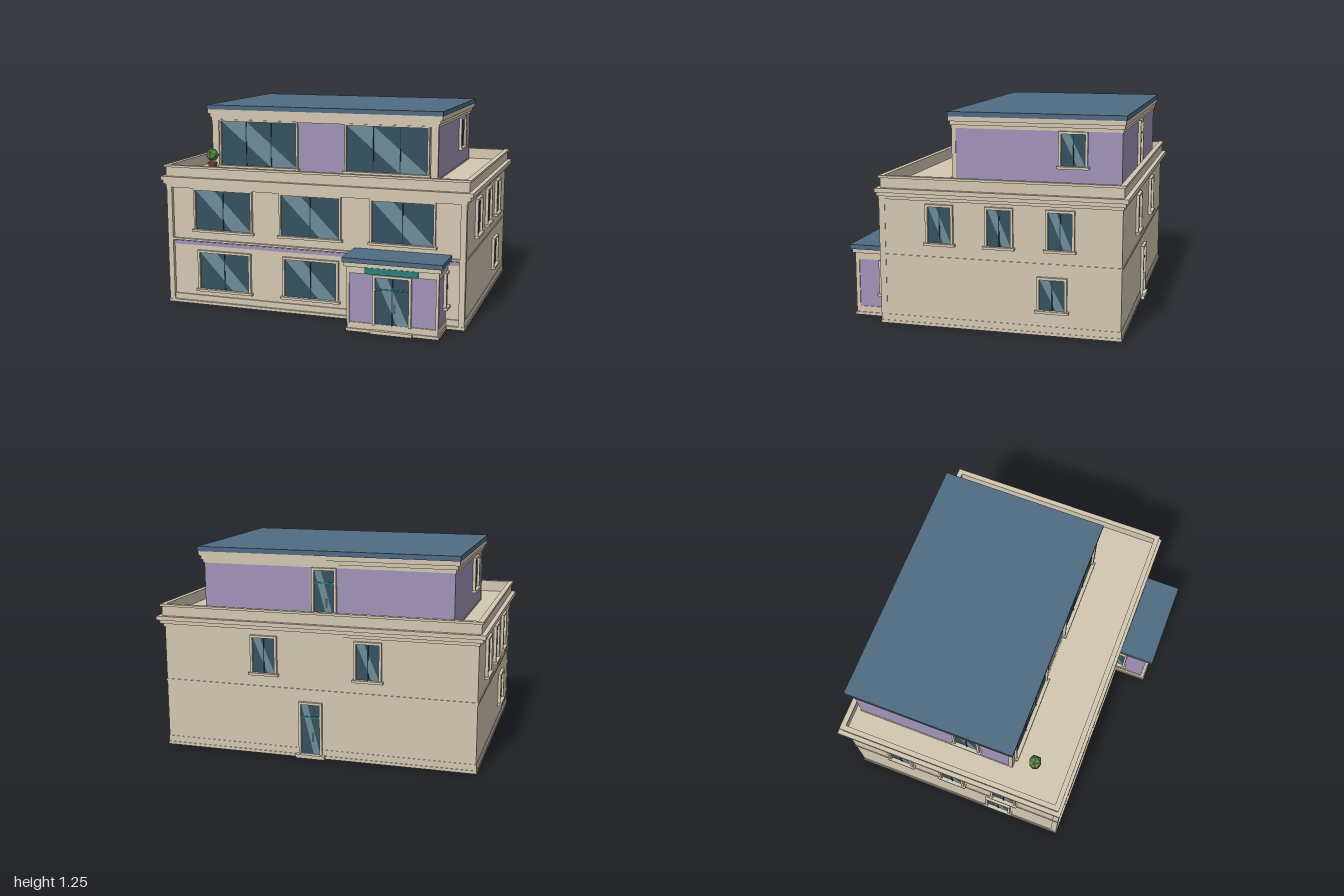
import * as THREE from 'three';

const mat = (color, side = THREE.FrontSide) => new THREE.MeshStandardMaterial({ color, side, flatShading: true });
const STONE = mat(0xd3c7b1), LILAC = mat(0xa093b8), ROOF = mat(0x4f6b82), GLASS = mat(0x34525f);
const SHINE = mat(0x6e8d99, THREE.DoubleSide), BAR = mat(0x263d49), TEAL = mat(0x2a7f7a);
const LEAF = mat(0x5c8a4a), POT = mat(0x8a4b3c);

// Box given by its lower and upper bounds on each axis
function box(parent, name, material, x0, x1, y0, y1, z0, z1) {
  const m = new THREE.Mesh(new THREE.BoxGeometry(x1 - x0, y1 - y0, z1 - z0), material);
  m.position.set((x0 + x1) / 2, (y0 + y1) / 2, (z0 + z1) / 2);
  m.name = name;
  parent.add(m);
  return m;
}

// Hollow rectangular wall of thickness t
function ring(parent, name, x0, x1, y0, y1, z0, z1, t) {
  const rect = (P, i) => new P().setFromPoints([[x0 + i, -z1 + i], [x1 - i, -z1 + i], [x1 - i, -z0 - i], [x0 + i, -z0 - i]]
    .map(([x, y]) => new THREE.Vector2(x, y)));
  const s = rect(THREE.Shape, 0);
  s.holes.push(rect(THREE.Path, t));
  const m = new THREE.Mesh(new THREE.ExtrudeGeometry(s, { depth: y1 - y0, bevelEnabled: false }), STONE);
  m.rotation.x = -Math.PI / 2;
  m.position.y = y0;
  m.name = name;
  parent.add(m);
}

// Glazed opening facing +z, centred on x = 0, from y0 to y1
function opening(name, w, y0, y1, { panes = 2, sill = true, door = false, f = 0.015 } = {}) {
  const g = new THREE.Group(), h = w / 2;
  g.name = name;
  box(g, 'glass', GLASS, -h, h, y0, y1, -0.01, 0.004);
  // diagonal reflection
  const b = w * 0.34;
  const s = new THREE.Shape([[-h, y1], [h - b, y0], [h, y0], [-h + b, y1]].map(p => new THREE.Vector2(...p)));
  const shine = new THREE.Mesh(new THREE.ShapeGeometry(s), SHINE);
  shine.position.z = 0.0055;
  shine.name = 'reflection';
  g.add(shine);
  for (let i = 1; i < panes; i++) {
    const x = -h + (w * i) / panes;
    box(g, 'mullion', BAR, x - 0.003, x + 0.003, y0, y1, 0, 0.009);
  }
  for (const d of [-1, 1]) box(g, 'jamb', STONE, ...[d * h, d * (h + f)].sort((p, q) => p - q), y0, y1 + f, -0.01, 0.018);
  box(g, 'lintel', STONE, -h, h, y1, y1 + f, -0.01, 0.018);
  if (sill) box(g, 'sill', STONE, -h - f - 0.01, h + f + 0.01, y0 - 0.015, y0, -0.01, 0.028);
  if (door) {
    const t = y0 + (y1 - y0) * 0.75;
    box(g, 'transom', TEAL, -h, h, t - 0.004, t + 0.004, 0, 0.011);
    box(g, 'doorHandle', STONE, 0.012, 0.018, y0 + 0.08, y0 + 0.13, 0, 0.016);
  }
  return g;
}

function place(parent, o, x, z, turn = 0) {
  o.position.set(x, 0, z);
  o.rotation.y = turn;
  parent.add(o);
}

export function createModel() {
  const root = new THREE.Group();
  root.name = 'building';
  const part = name => {
    const g = new THREE.Group();
    g.name = name;
    root.add(g);
    return g;
  };
  const Q = Math.PI / 2;

  // Main two-storey block
  const main = part('mainBlock');
  box(main, 'walls', STONE, -0.96, 0.96, 0, 0.8, -0.815, 0.595);
  box(main, 'basePlinth', STONE, -0.963, 0.963, 0, 0.055, -0.818, 0.605);
  box(main, 'baseCourse', STONE, -0.966, 0.966, 0, 0.018, -0.822, 0.62);
  box(main, 'stringCourse', STONE, -0.965, 0.965, 0.41, 0.422, -0.82, 0.612);
  box(main, 'colourBand', LILAC, -0.93, 0.93, 0.382, 0.405, 0.59, 0.602);
  for (const d of [-1, 1]) box(main, 'cornerPilaster', STONE, d * 0.945 - 0.0175, d * 0.945 + 0.0175, 0.018, 0.77, 0.58, 0.617);
  box(main, 'frieze', STONE, -0.967, 0.967, 0.75, 0.77, -0.822, 0.619);
  box(main, 'lowerCornice', STONE, -0.985, 0.985, 0.77, 0.793, -0.835, 0.622);
  box(main, 'upperCornice', STONE, -1, 1, 0.793, 0.818, -0.85, 0.627);
  ring(main, 'parapet', -0.973, 0.973, 0.818, 0.878, -0.823, 0.6, 0.02);
  ring(main, 'parapetCap', -0.982, 0.982, 0.876, 0.89, -0.832, 0.61, 0.032);

  // Main block windows
  const win = part('mainWindows');
  for (const x of [-0.58, 0, 0.58]) place(win, opening('frontUpperWindow', 0.375, 0.487, 0.738, { f: 0.012 }), x, 0.595);
  for (const x of [-0.578, 0]) place(win, opening('frontLowerWindow', 0.335, 0.1, 0.337), x, 0.595);
  for (const d of [-1, 1]) {
    for (const z of [0.245, -0.11, -0.465]) place(win, opening('sideUpperWindow', 0.137, 0.505, 0.718), d * 0.96, z, d * Q);
    place(win, opening('sideLowerWindow', 0.145, 0.15, 0.33), d * 0.96, -0.11 - d * 0.31, d * Q);
    place(win, opening('backUpperWindow', 0.137, 0.505, 0.718), d * 0.32, -0.815, Math.PI);
  }
  place(win, opening('backDoor', 0.115, 0.025, 0.33, { sill: false, door: true, panes: 1 }), 0.03, -0.815, Math.PI);
  box(win, 'backStep', STONE, -0.06, 0.12, 0, 0.022, -0.845, -0.81);

  // Entrance porch
  const porch = part('porch');
  box(porch, 'porchWalls', LILAC, 0.313, 0.847, 0.02, 0.4, 0.5, 0.815);
  box(porch, 'porchPlinth', STONE, 0.308, 0.852, 0, 0.055, 0.5, 0.822);
  box(porch, 'porchBaseCourse', STONE, 0.302, 0.858, 0, 0.018, 0.5, 0.83);
  for (const x of [0.31, 0.84]) box(porch, 'porchPilaster', STONE, x - 0.003, x + 0.013, 0.05, 0.37, 0.8, 0.824);
  box(porch, 'porchFrieze', STONE, 0.306, 0.854, 0.35, 0.392, 0.5, 0.824);
  box(porch, 'porchCornice', STONE, 0.292, 0.868, 0.39, 0.415, 0.5, 0.837);
  box(porch, 'porchRoof', ROOF, 0.282, 0.878, 0.415, 0.443, 0.46, 0.846);
  box(porch, 'signBoard', TEAL, 0.42, 0.735, 0.355, 0.392, 0.8, 0.841);
  place(porch, opening('frontDoor', 0.2, 0.05, 0.335, { sill: false, door: true }), 0.58, 0.815);
  box(porch, 'doorStep', STONE, 0.455, 0.705, 0, 0.02, 0.8, 0.845);
  for (const d of [-1, 1]) place(porch, opening('porchSideWindow', 0.12, 0.145, 0.335), 0.58 + d * 0.267, 0.595, d * Q);

  // Set-back top storey
  const top = part('topStorey');
  box(top, 'topWalls', LILAC, -0.81, 0.705, 0.81, 1.17, -0.77, 0.24);
  box(top, 'topBaseCourse', STONE, -0.814, 0.709, 0.81, 0.826, -0.774, 0.246);
  for (const x of [-0.79, 0.685]) box(top, 'topPilaster', STONE, x - 0.023, x + 0.023, 0.818, 1.16, 0.225, 0.25);
  box(top, 'topFrieze', STONE, -0.816, 0.711, 1.146, 1.17, -0.776, 0.252);
  box(top, 'topLowerCornice', STONE, -0.826, 0.721, 1.165, 1.19, -0.783, 0.256);
  box(top, 'topUpperCornice', STONE, -0.838, 0.735, 1.188, 1.216, -0.79, 0.263);
  box(top, 'roofSlab', ROOF, -0.842, 0.738, 1.216, 1.245, -0.797, 0.266);
  for (const x of [-0.485, 0.38]) place(top, opening('terraceWindow', 0.525, 0.85, 1.14, { panes: 3, f: 0.012 }), x, 0.24);
  place(top, opening('rightWindow', 0.142, 0.942, 1.13), 0.705, -0.485, Q);
  place(top, opening('leftWindow', 0.142, 0.942, 1.13), -0.81, -0.045, -Q);
  place(top, opening('topBackDoor', 0.12, 0.835, 1.13, { sill: false, door: true, panes: 1 }), -0.045, -0.77, Math.PI);

  // Potted shrub on the terrace
  const plant = part('plant');
  plant.position.set(-0.755, 0, 0.375);
  const pot = new THREE.Mesh(new THREE.CylinderGeometry(0.03, 0.022, 0.06, 8), POT);
  pot.position.y = 0.848;
  pot.name = 'pot';
  const rim = new THREE.Mesh(new THREE.CylinderGeometry(0.034, 0.034, 0.012, 8), POT);
  rim.position.y = 0.878;
  rim.name = 'potRim';
  const shrub = new THREE.Mesh(new THREE.IcosahedronGeometry(0.044, 0), LEAF);
  shrub.position.y = 0.932;
  shrub.name = 'shrub';
  plant.add(pot, rim, shrub);

  return root;
}
